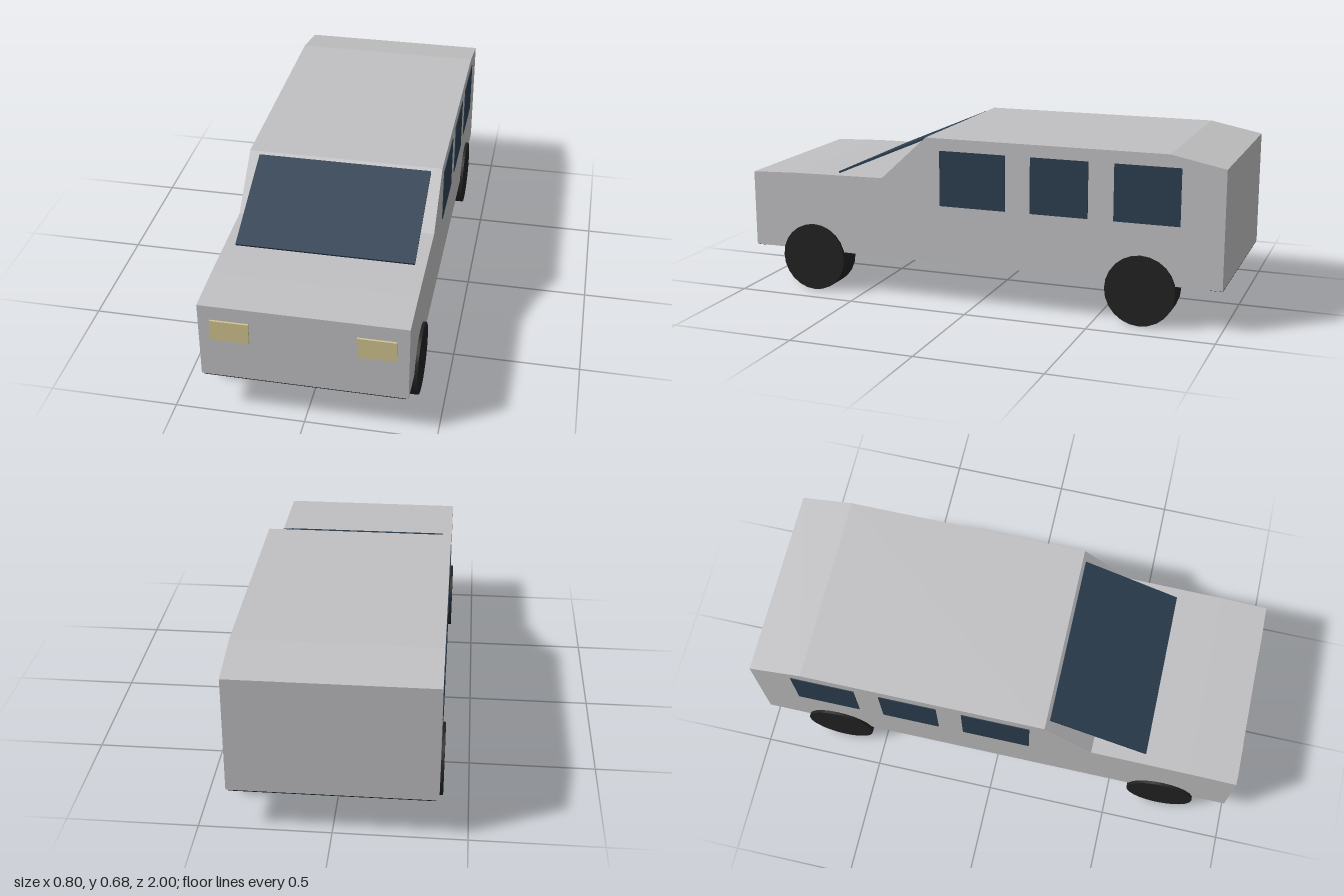
import * as THREE from 'three';

export function createModel() {
  const group = new THREE.Group();
  const mat = (name, color) => {
    const m = new THREE.MeshStandardMaterial({ color });
    m.name = name;
    return m;
  };
  const paint = mat('silver paint', 0xc0c0c2);
  const glass = mat('dark glass', 0x2c3e50);
  const rubber = mat('black rubber', 0x222222);
  const lamp = mat('lamp yellow', 0xd0c490);

  const add = (name, geometry, material, x = 0, y = 0, z = 0) => {
    const mesh = new THREE.Mesh(geometry, material);
    mesh.name = name;
    mesh.position.set(x, y, z);
    group.add(mesh);
    return mesh;
  };
  const box = (name, w, h, d, material, x, y, z) =>
    add(name, new THREE.BoxGeometry(w, h, d), material, x, y, z);

  // Body: side profile (z, y) extruded across the width
  const halfWidth = 0.39;
  const profile = [
    [0.992, 0.17], [0.992, 0.485], [0.8, 0.493], [0.4, 0.5],
    [0.205, 0.68], [-0.785, 0.68], [-1, 0.637], [-1, 0.17],
  ];
  const shape = new THREE.Shape(profile.map(([z, y]) => new THREE.Vector2(z, y)));
  const body = new THREE.ExtrudeGeometry(shape, { depth: halfWidth * 2, bevelEnabled: false });
  body.translate(0, 0, -halfWidth).rotateY(-Math.PI / 2);
  add('body', body, paint);

  // Windscreen: sloping plate from the roof edge down onto the bonnet
  const [topZ, topY, lowZ, lowY] = [0.218, 0.67, 0.615, 0.5];
  const screen = box('windscreen', 0.695, 0.008, Math.hypot(lowZ - topZ, topY - lowY), glass,
    0, (topY + lowY) / 2, (topZ + lowZ) / 2);
  screen.rotation.x = Math.atan2(topY - lowY, lowZ - topZ);

  // Bumpers: tucked into the ends, showing just below the body
  for (const [name, z] of [['frontBumper', 0.966], ['rearBumper', -0.974]]) {
    box(name, 0.76, 0.08, 0.05, rubber, 0, 0.206, z);
  }

  const wheel = new THREE.CylinderGeometry(0.14, 0.14, 0.107, 24).rotateZ(Math.PI / 2);
  for (const [side, s] of [['left', 1], ['right', -1]]) {
    // Side windows
    [[0.145, -0.132], [-0.235, -0.47], [-0.572, -0.832]].forEach(([a, b], i) => {
      box(`${side}Window${i + 1}`, 0.006, 0.225, a - b, glass, s * halfWidth, 0.518, (a + b) / 2);
    });
    // Headlights
    box(`${side}Headlight`, 0.145, 0.085, 0.009, lamp, s * 0.272, 0.383, 0.9955);
    // Wheels
    add(`${side}FrontWheel`, wheel, rubber, s * 0.3485, 0.14, 0.717);
    add(`${side}RearWheel`, wheel, rubber, s * 0.3485, 0.14, -0.683);
  }
  return group;
}
